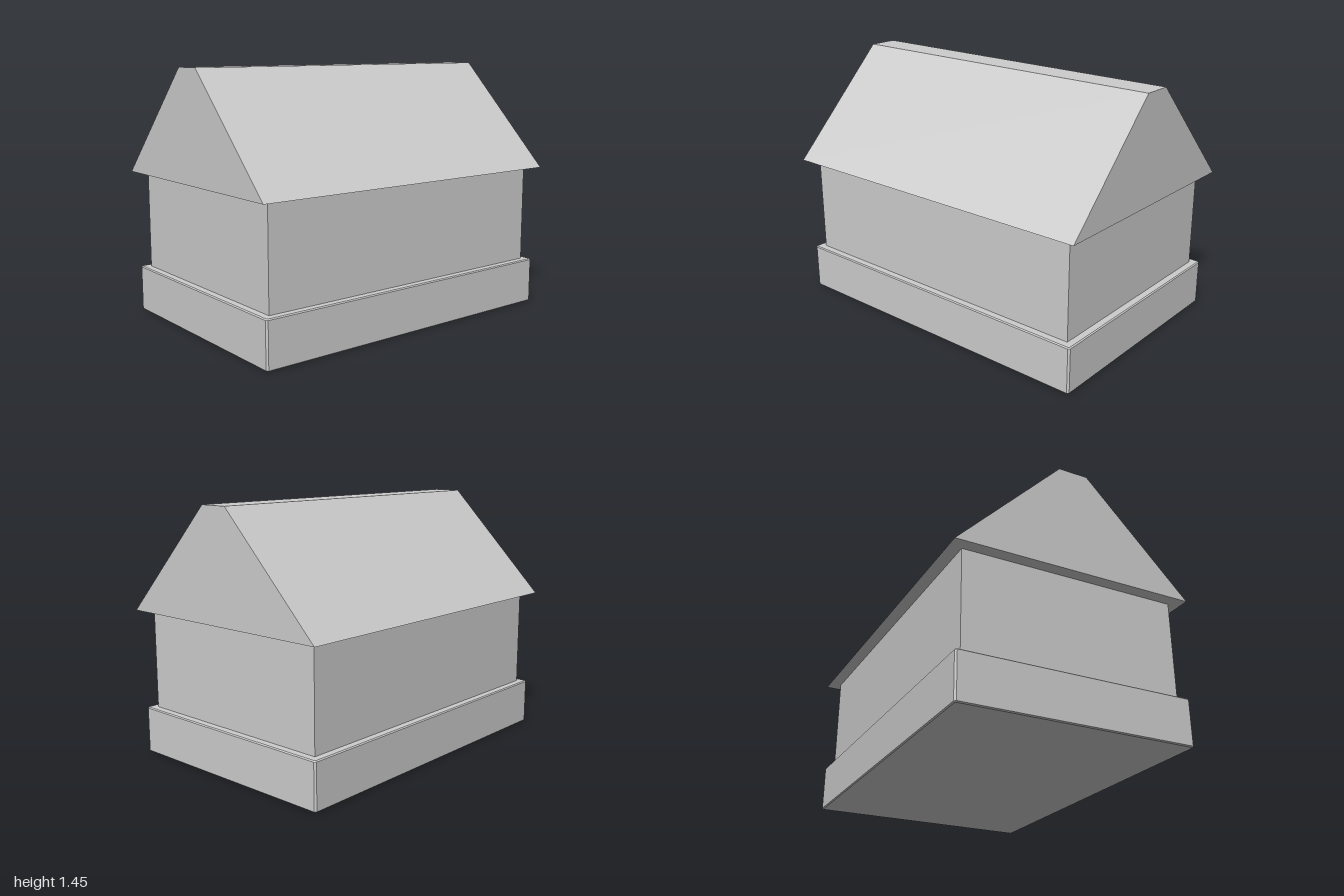
import * as THREE from 'three';

export function createModel() {
  const house = new THREE.Group();
  house.name = 'house';
  const lightGrey = new THREE.MeshStandardMaterial({ color: 0xcccccc });
  lightGrey.name = 'light grey';

  const add = (name, geometry) => {
    const mesh = new THREE.Mesh(geometry, lightGrey);
    mesh.name = name;
    house.add(mesh);
  };
  const polygon = (points) => new THREE.Shape(points.map(([x, y]) => new THREE.Vector2(x, y)));

  // Foundation slab with narrow chamfers on every edge
  const c = 0.006, x = 0.975 - c, z = 0.665 - c, height = 0.265;
  const outline = polygon([
    [x - c, -z], [x, -z + c], [x, z - c], [x - c, z],
    [-x + c, z], [-x, z - c], [-x, -z + c], [-x + c, -z],
  ]);
  const foundation = new THREE.ExtrudeGeometry(outline, {
    depth: height - 2 * c, bevelEnabled: true, bevelSegments: 1, bevelSize: c, bevelThickness: c,
  });
  foundation.rotateX(-Math.PI / 2).translate(0, c, 0);
  add('foundation', foundation);

  // Walls
  add('walls', new THREE.BoxGeometry(1.86, 0.57, 1.24).translate(0, 0.545, 0));

  // Gabled roof with a flat ridge
  const gable = polygon([[-0.69, 0.83], [0.69, 0.83], [0.085, 1.445], [-0.085, 1.445]]);
  const roof = new THREE.ExtrudeGeometry(gable, { depth: 2, bevelEnabled: false });
  roof.translate(0, 0, -1).rotateY(Math.PI / 2);
  add('roof', roof);

  return house;
}
